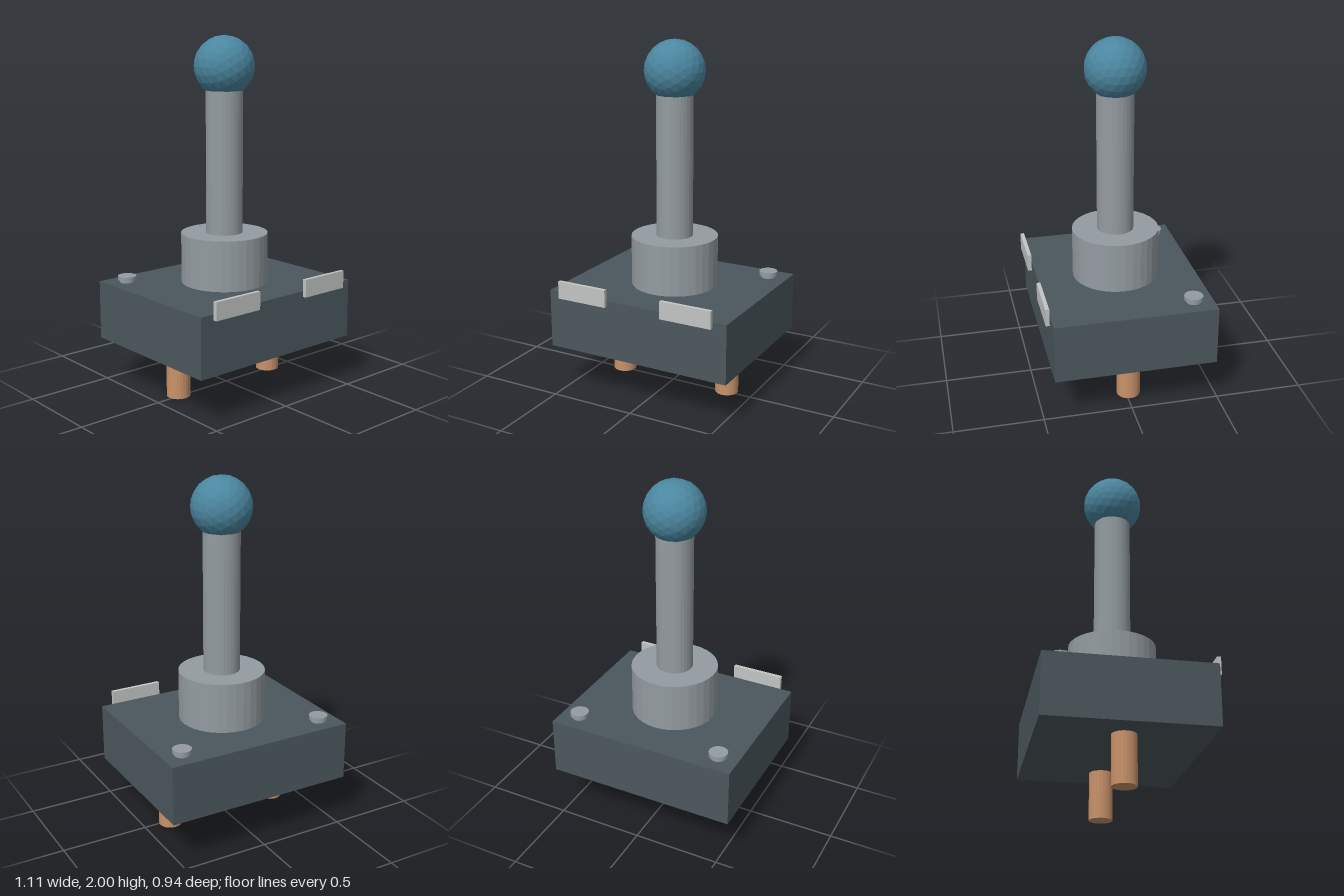
import * as THREE from 'three';

const paint = (name, color, flatShading = true) => {
  const m = new THREE.MeshStandardMaterial({ color, flatShading });
  m.name = name;
  return m;
};

export function createModel() {
  const group = new THREE.Group();
  const slate = paint('slate', 0x4b575d);
  const steel = paint('steel', 0x949ca1);
  const silver = paint('silver', 0xc2c5c4);
  const copper = paint('copper', 0xc8926a);
  const blue = paint('blue', 0x4b86a0);
  const cz = -0.016; // depth centre of the body

  const add = (name, geometry, material, x, y, z) => {
    const mesh = new THREE.Mesh(geometry, material);
    mesh.name = name;
    mesh.position.set(x, y, z);
    group.add(mesh);
  };
  // Upright cylinder between two heights
  const rod = (name, r, y0, y1, material, x, z, sides = 32) =>
    add(name, new THREE.CylinderGeometry(r, r, y1 - y0, sides), material, x, (y0 + y1) / 2, z);

  // Body block
  add('body', new THREE.BoxGeometry(1.105, 0.338, 0.912), slate, 0, 0.439, cz);

  // Collar, lever and knob
  rod('collar', 0.247, 0.608, 0.895, steel, 0, cz);
  rod('stem', 0.104, 0.895, 1.7, steel, 0, cz);
  add('knob', new THREE.IcosahedronGeometry(0.17, 3), blue, 0, 1.83, cz);

  // Paired parts on the left and right
  for (const s of [-1, 1]) {
    rod('pin', 0.067, 0, 0.27, copper, s * 0.343, cz, 24);
    rod('screwShank', 0.043, 0.608, 0.625, steel, s * 0.438, -0.36, 24);
    rod('screwHead', 0.053, 0.622, 0.645, steel, s * 0.438, -0.36, 24);
    add('frontTab', new THREE.BoxGeometry(0.304, 0.101, 0.022), silver, s * 0.323, 0.63, 0.46);
  }
  return group;
}
